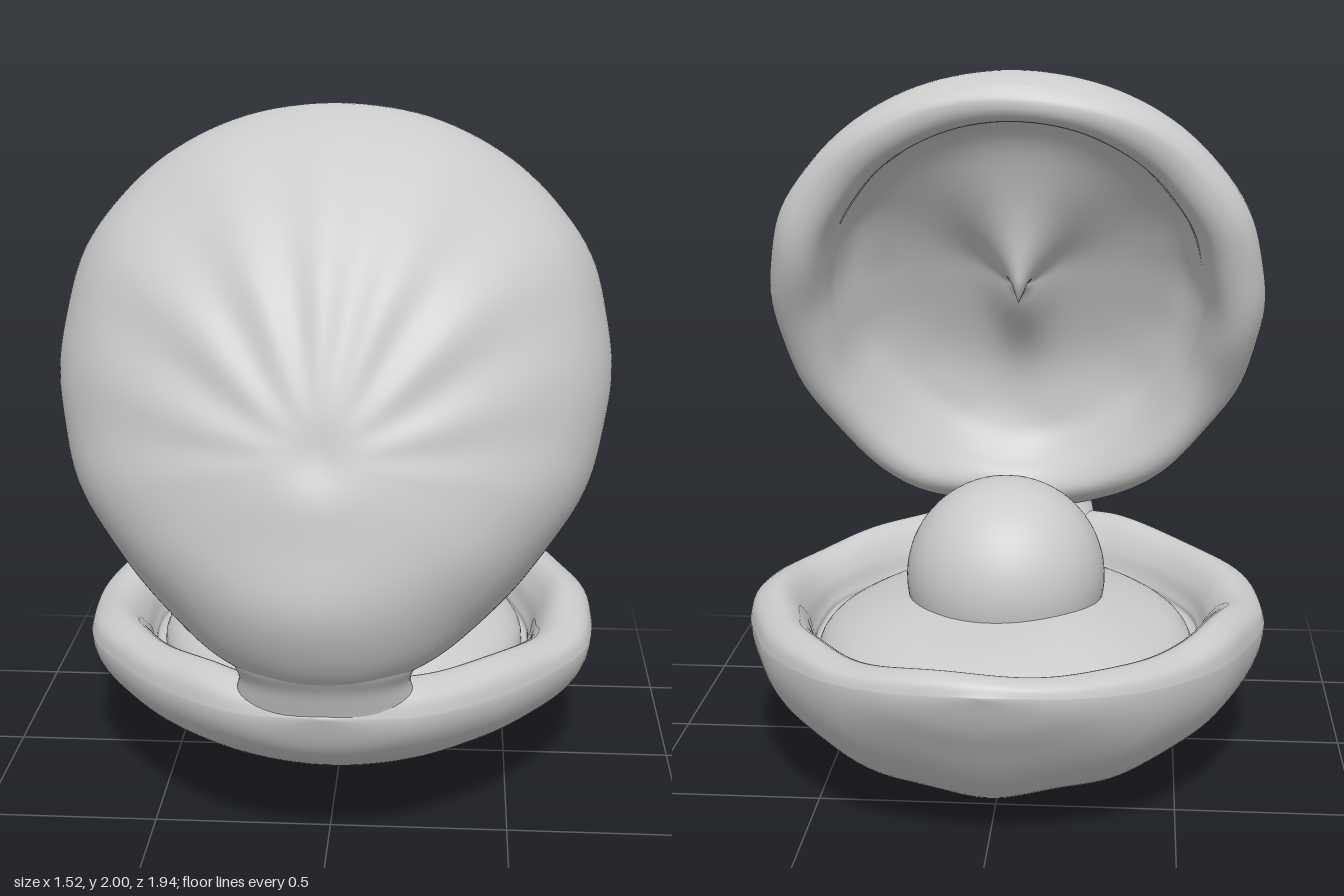
import * as THREE from 'three';

const material = new THREE.MeshStandardMaterial({ color: 0xcccccc, roughness: 0.7 });
const SEGMENTS = 144;

const spline = (pts) => new THREE.SplineCurve(pts.map(([a, b]) => new THREE.Vector2(a, b)));
const smooth = THREE.MathUtils.smoothstep;

function part(name, geometry, parent) {
  const mesh = new THREE.Mesh(geometry, material);
  mesh.name = name;
  parent.add(mesh);
  return mesh;
}

// A thick half shell on a polar grid: outer bowl, rolled lip, then hollow inside.
// rim and keel are (z, y) profiles from hinge to tip, width a half-width profile.
function shellGeometry({ rim, keel, width, inward, flip, lip, ribStart, ribCount, ribDepth, knob }) {
  const rimCurve = spline(rim);
  const keelCurve = spline(keel);
  const widthCurve = spline(width.map((w, i) => [i, w]));
  const lipCurve = spline(lip);

  const rows = [];
  for (let i = 0; i <= 44; i++) rows.push({ r: Math.sin((i / 44) * Math.PI / 2), outer: true });
  for (let i = 1; i <= 60; i++) {
    const p = lipCurve.getPoint(i / 60);
    rows.push({ r: Math.max(p.x, 0), lift: p.y });
  }

  const positions = [];
  rows.forEach(({ r, outer, lift = 0 }) => {
    for (let j = 0; j < SEGMENTS; j++) {
      const u = (j / SEGMENTS) * Math.PI * 2;
      // the lip gets narrower and thinner towards the tip
      const tip = Math.max(0, Math.cos(u)) ** 3;
      const radius = outer ? r : r ** (1 - 0.35 * tip);
      const p = radius * Math.cos(u);
      const q = radius * Math.sin(u);
      const t = Math.acos(THREE.MathUtils.clamp(-p, -1, 1)) / Math.PI;
      const base = rimCurve.getPoint(t);
      if (outer) {
        // elliptical section with a fan of ribs spreading towards the tip
        const f = Math.min(1, (q * q) / Math.max(1 - p * p, 1e-6));
        const fan = Math.atan2(q, p - ribStart);
        const dist = Math.hypot(q, p - ribStart);
        const fade = smooth(dist, 0.12, 0.5) * (1 - smooth(Math.abs(fan), 1.0, 2.0));
        let bulge = Math.sqrt(1 - f) * (1 + ribDepth * fade * Math.cos(ribCount * fan));
        bulge *= 1 - 0.03 * Math.exp(-dist * dist * 90);
        bulge *= 1 + 0.015 * r * Math.sin(9 * p + 2) * Math.sin(5 * q + 1);
        base.lerp(keelCurve.getPoint(t), bulge);
      } else {
        // gently wavy lip, and an optional knob in the middle of the hollow
        const wave = 1 + smooth(r, 0.6, 0.85) * (0.12 * Math.sin(5 * u + 1) + 0.08 * Math.sin(9 * u));
        const bump = knob * Math.exp(-(q * q * 60 + (p + 0.05) ** 2 * 14));
        base.addScaledVector(inward, lift * wave * (1 - 0.35 * tip) + bump);
      }
      const edge = 1 + 0.008 * r * Math.sin(11 * u) * Math.sin(4 * u);
      positions.push(flip * q * widthCurve.getPoint(t).y * edge, base.y, base.x);
    }
  });

  const last = rows.length - 1;
  const id = (i, j) => i * SEGMENTS + (i === 0 || i === last ? 0 : j % SEGMENTS);
  const index = [];
  for (let i = 0; i < last; i++) {
    for (let j = 0; j < SEGMENTS; j++) {
      const [a, b, c, d] = [id(i, j), id(i + 1, j), id(i + 1, j + 1), id(i, j + 1)];
      if (i < last - 1) index.push(a, b, c);
      else index.push(a, b, d);
      if (i > 0 && i < last - 1) index.push(a, c, d);
    }
  }
  const geometry = new THREE.BufferGeometry();
  geometry.setAttribute('position', new THREE.Float32BufferAttribute(positions, 3));
  geometry.setIndex(index);
  geometry.computeVertexNormals();
  return geometry;
}

export function createModel() {
  const group = new THREE.Group();
  group.name = 'clamWithPearl';

  part('lowerShell', shellGeometry({
    rim: [[0.81, 0.47], [0.74, 0.45], [0.54, 0.43], [0.253, 0.42], [-0.085, 0.42],
      [-0.423, 0.43], [-0.71, 0.45], [-0.9, 0.48], [-0.97, 0.5]],
    keel: [[0.81, 0.47], [0.74, 0.33], [0.54, 0.205], [0.253, 0.115], [-0.085, 0.01],
      [-0.423, 0.025], [-0.71, 0.125], [-0.9, 0.35], [-0.97, 0.5]],
    width: [0.68, 0.66, 0.69, 0.75, 0.76, 0.735, 0.71, 0.72, 0.74],
    inward: new THREE.Vector2(0, 1),
    flip: 1,
    lip: [[1, 0], [0.985, 0.04], [0.95, 0.065], [0.89, 0.08], [0.83, 0.06], [0.78, 0.01],
      [0.75, -0.05], [0.7, -0.08], [0.35, -0.09], [0, -0.09]],
    ribStart: -0.35, ribCount: 13, ribDepth: 0.018, knob: 0,
  }), group);

  part('upperShell', shellGeometry({
    rim: [[0.74, 0.52], [0.68, 0.58], [0.54, 0.71], [0.44, 0.945], [0.31, 1.22],
      [0.2, 1.5], [0.13, 1.74], [0.075, 1.9], [0.05, 1.96]],
    keel: [[0.74, 0.52], [0.88, 0.61], [0.965, 0.8], [0.955, 1.0], [0.9, 1.24],
      [0.74, 1.6], [0.47, 1.87], [0.22, 1.99], [0.05, 1.96]],
    width: [0.68, 0.66, 0.66, 0.71, 0.75, 0.79, 0.82, 0.85, 0.85],
    inward: new THREE.Vector2(-0.905, -0.42),
    flip: -1,
    lip: [[1, 0], [0.985, 0.03], [0.95, 0.06], [0.89, 0.07], [0.83, 0.05], [0.78, -0.01],
      [0.75, -0.09], [0.68, -0.18], [0.5, -0.25], [0.25, -0.28], [0, -0.28]],
    ribStart: -0.05, ribCount: 14, ribDepth: 0.016, knob: 0.08,
  }), group);

  // Hinge: a waisted neck that leans outwards as it rises, buried in both shells
  const neck = new THREE.LatheGeometry(
    spline([[0.02, 0.37], [0.2, 0.38], [0.25, 0.43], [0.24, 0.49], [0.228, 0.55],
      [0.24, 0.61], [0.2, 0.67], [0.02, 0.69]]).getPoints(32), 48);
  const np = neck.attributes.position;
  for (let i = 0; i < np.count; i++) {
    np.setZ(i, np.getZ(i) * 0.54 + 0.7 + (np.getY(i) - 0.53) * 0.5);
  }
  neck.computeVertexNormals();
  part('hinge', neck, group);

  // Soft mound that the pearl rests on, with a rippled surface
  const mound = new THREE.SphereGeometry(1, 64, 32);
  const mp = mound.attributes.position;
  for (let i = 0; i < mp.count; i++) {
    const [x, y, z] = [mp.getX(i), mp.getY(i), mp.getZ(i)];
    const ripple = 1 + 0.05 * Math.sin(6 * x + 1) * Math.sin(5 * z);
    mp.setXYZ(i, x * 0.55 * (1 - 0.12 * z * z), 0.34 + y * 0.18 * ripple, z * 0.67 - 0.12);
  }
  mound.computeVertexNormals();
  part('flesh', mound, group);

  part('pearl', new THREE.SphereGeometry(0.29, 64, 40), group).position.set(0, 0.55, -0.12);

  return group;
}
